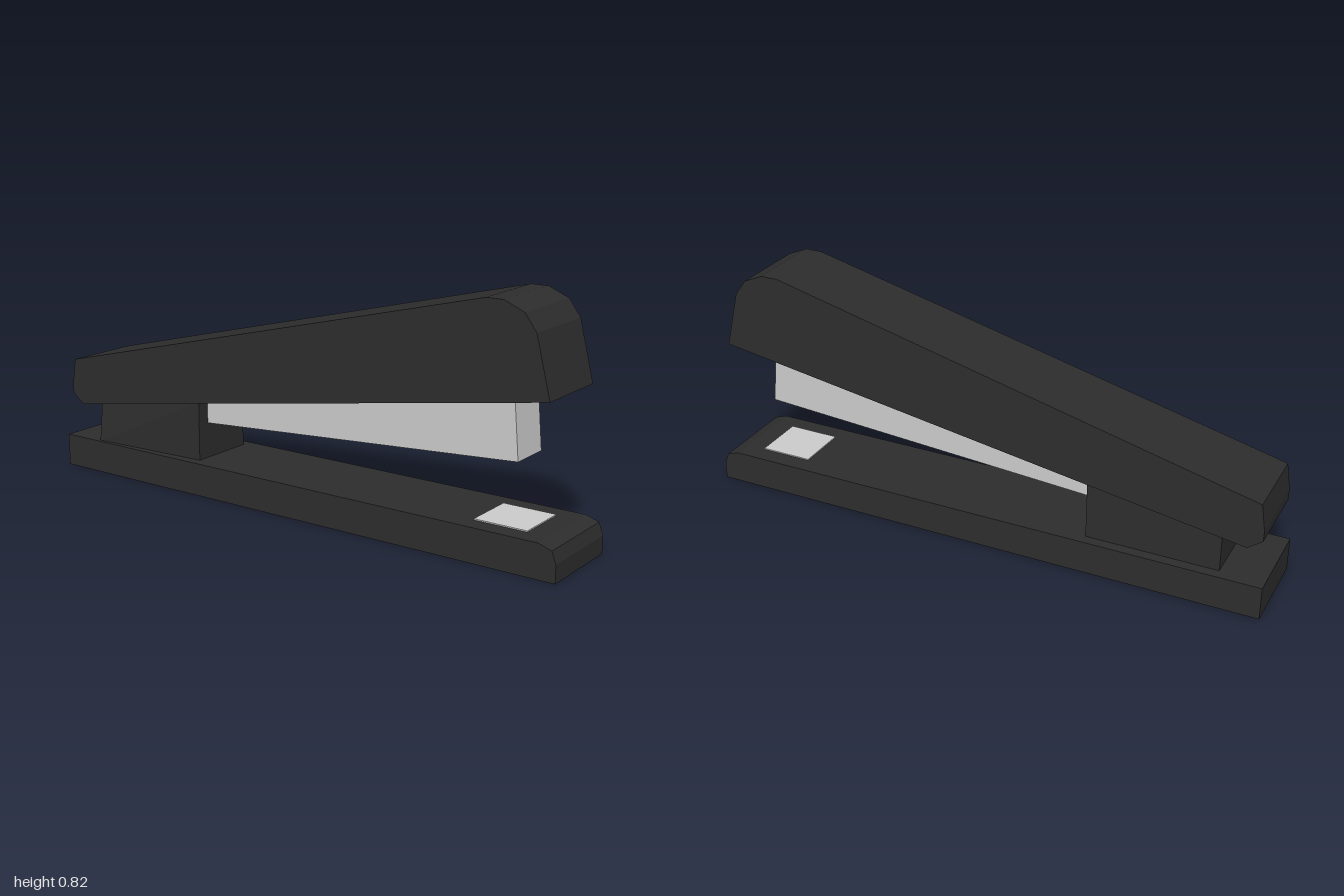
import * as THREE from 'three';

const black = new THREE.MeshStandardMaterial({ color: 0x2d2d2d, flatShading: true });
const metal = new THREE.MeshStandardMaterial({ color: 0xcccccc, flatShading: true });

// Side profile in x, y extruded across z from back to front
function slab(name, points, back, front, material) {
  const shape = new THREE.Shape(points.map(([x, y]) => new THREE.Vector2(x, y)));
  const geometry = new THREE.ExtrudeGeometry(shape, { depth: front - back, bevelEnabled: false });
  geometry.translate(0, 0, back);
  const mesh = new THREE.Mesh(geometry, material);
  mesh.name = name;
  return mesh;
}

export function createModel() {
  const stapler = new THREE.Group();
  stapler.name = 'stapler';

  // Flat base with a rounded nose
  stapler.add(slab('base', [
    [-1, 0], [1, 0], [1, 0.06], [0.985, 0.1], [0.94, 0.115], [-1, 0.115],
  ], -0.157, 0.157, black));

  // Hinge block, with its lower rear corner flared slightly to the front
  const hinge = slab('hingeBlock', [
    [-0.85, 0.11], [-0.395, 0.11], [-0.395, 0.325], [-0.85, 0.255],
  ], -0.12, 0.12, black);
  const p = hinge.geometry.attributes.position;
  for (let i = 0; i < p.count; i++) {
    if (p.getX(i) < -0.8 && p.getZ(i) > 0) p.setZ(i, p.getY(i) < 0.2 ? 0.145 : 0.128);
  }
  hinge.geometry.computeVertexNormals();
  stapler.add(hinge);

  // Raised handle, chamfered at the tail and rounded at the nose
  stapler.add(slab('handle', [
    [-0.935, 0.236], [0.95, 0.538], [0.9, 0.735], [0.86, 0.79], [0.79, 0.82],
    [0.73, 0.82], [-0.97, 0.4], [-0.984, 0.31], [-0.984, 0.272],
  ], -0.139, 0.139, black));

  // Staple magazine tucked under the handle
  stapler.add(slab('magazine', [
    [-0.395, 0.24], [0.82, 0.32], [0.802, 0.52], [-0.395, 0.33],
  ], -0.074, 0.074, metal));

  // Anvil plate on the base
  stapler.add(slab('anvilPlate', [
    [0.685, 0.11], [0.87, 0.11], [0.87, 0.119], [0.685, 0.119],
  ], -0.093, 0.093, metal));

  return stapler;
}
